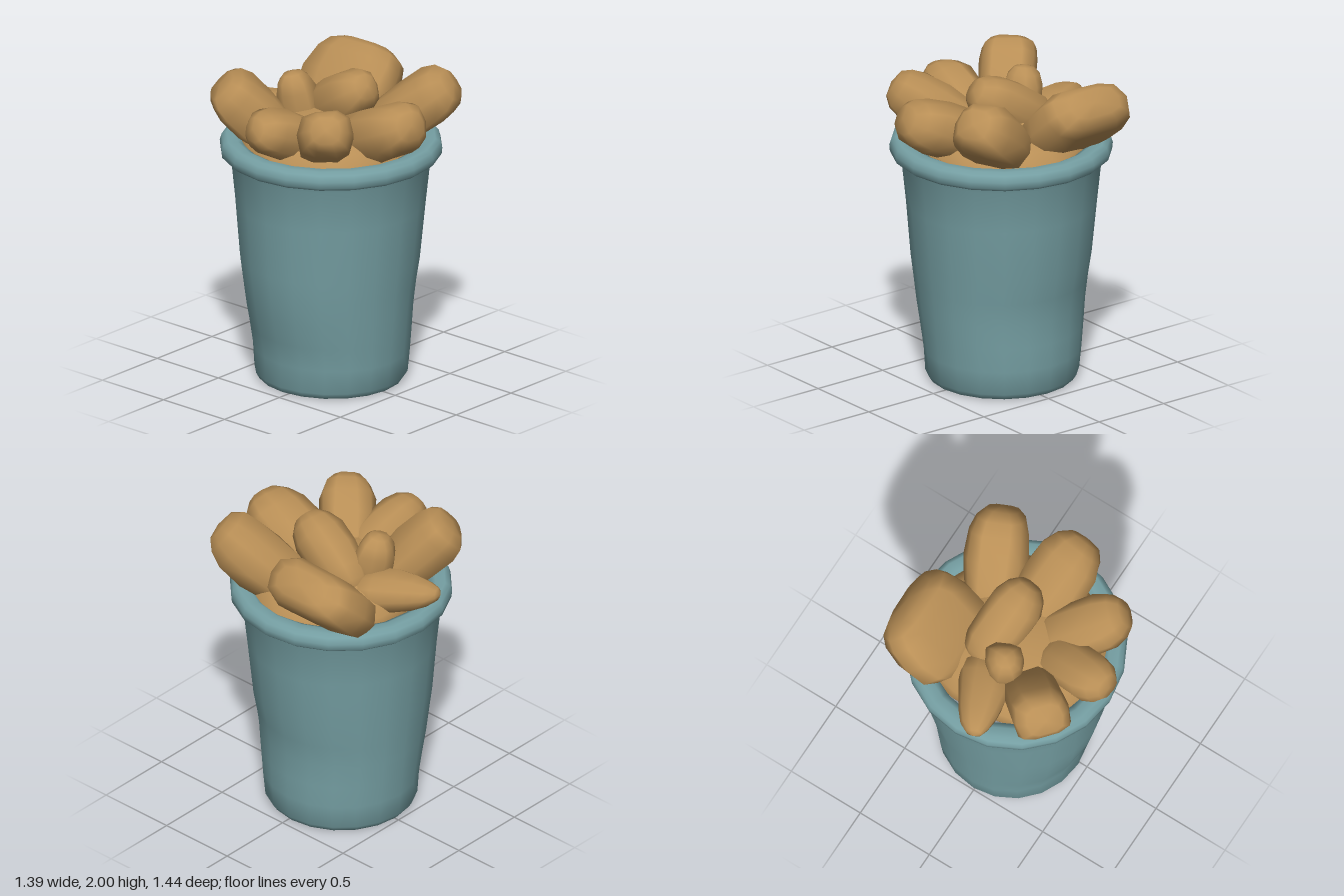
import * as THREE from 'three';
import { mergeVertices, toCreasedNormals } from 'three/addons/utils/BufferGeometryUtils.js';

const teal = new THREE.MeshStandardMaterial({ color: 0x76a0a4 });
teal.name = 'dusty teal';
const brown = new THREE.MeshStandardMaterial({ color: 0xb98f56 });
brown.name = 'golden brown';

const V = (a) => new THREE.Vector3(...a);

// Moves every vertex by a rule
function deform(geo, rule) {
  const p = geo.attributes.position, v = new THREE.Vector3();
  for (let i = 0; i < p.count; i++) {
    v.fromBufferAttribute(p, i);
    rule(v);
    p.setXYZ(i, v.x, v.y, v.z);
  }
  return geo;
}

// Welds the seams so that shading is smooth all round
function smooth(geo) {
  geo.deleteAttribute('normal');
  geo.deleteAttribute('uv');
  const g = mergeVertices(geo, 1e-4);
  g.computeVertexNormals();
  return g;
}

// Irregular nugget: w = half width across, h = half thickness, flare = widening towards the tip,
// power = bluntness (lower is boxier)
function nuggetGeometry(root, tip, w, h, flare, power, seed) {
  const a = V(root), b = V(tip);
  const axis = b.clone().sub(a);
  const half = axis.length() / 2;
  axis.normalize();
  const side = new THREE.Vector3(0, 1, 0).cross(axis).normalize();
  const up = side.clone().cross(axis);
  const m = new THREE.Matrix4().makeBasis(side, axis, up).setPosition(a.add(b).multiplyScalar(0.5));
  const blunt = (n) => Math.sign(n) * Math.pow(Math.abs(n), power);
  const geo = deform(new THREE.SphereGeometry(1, 10, 8), (v) => {
    const lump = 1 + 0.08 * Math.sin(3 * v.x + seed * 2.1) * Math.cos(2.5 * v.z + seed)
      + 0.05 * Math.sin(4 * v.y + 3 * v.x + seed);
    const taper = (1 - Math.abs(flare) * 0.7 + flare * v.y) * lump;
    v.set(blunt(v.x) * w * taper, blunt(v.y) * half, blunt(v.z) * h * taper);
    v.applyMatrix4(m);
    v.y = Math.min(v.y, 2);
  });
  return smooth(geo);
}

export function createModel() {
  const model = new THREE.Group();
  const add = (geo, mat, name) => {
    const mesh = new THREE.Mesh(geo, mat);
    mesh.name = name;
    model.add(mesh);
    return mesh;
  };

  // Tapered cup wall and base, with shallow dents low on both sides
  const wall = [[0, 0.01], [0.41, 0.005], [0.45, 0.015], [0.473, 0.05], [0.488, 0.2], [0.503, 0.35],
    [0.518, 0.5], [0.532, 0.65], [0.55, 0.8], [0.583, 1.15], [0.612, 1.42], [0.63, 1.47]];
  const bell = (y, c, s) => Math.exp(-(((y - c) / s) ** 2));
  const cup = deform(new THREE.LatheGeometry(wall.map((p) => new THREE.Vector2(...p)), 20), (v) => {
    if (v.x < 0) v.x *= 1 - 0.07 * bell(v.y, 0.2, 0.2) + 0.03 * bell(v.y, 0.75, 0.3);
    else v.x *= 1 - 0.05 * bell(v.y, 0.52, 0.2);
  });
  add(toCreasedNormals(smooth(cup), 0.9), teal, 'cup').position.z = -0.03;

  // Rolled rim with an inner lip
  const lip = [[0.6, 1.46], [0.655, 1.455], [0.678, 1.475], [0.682, 1.515], [0.67, 1.555], [0.64, 1.572],
    [0.58, 1.57], [0.54, 1.55], [0.52, 1.48]];
  add(smooth(new THREE.LatheGeometry(lip.map((p) => new THREE.Vector2(...p)), 20)), teal, 'rim')
    .position.z = -0.025;

  // Mound of filling beneath the nuggets
  const mound = deform(new THREE.SphereGeometry(1, 24, 12), (v) => {
    const bump = 1 + 0.05 * Math.sin(5 * v.x + 2) * Math.cos(4 * v.z);
    v.set(v.x * 0.57 * bump, 1.5 + v.y * 0.25, v.z * 0.54 * bump);
  });
  add(smooth(mound), brown, 'fillingMound');

  // Nuggets: root, tip, half width, half thickness, flare, power
  const nuggets = [
    ['backLeftNugget', [-0.18, 1.52, -0.2], [-0.51, 1.93, -0.48], 0.21, 0.18, 0.14, 0.65],
    ['leftNugget', [-0.15, 1.58, 0.02], [-0.69, 1.8, -0.05], 0.17, 0.16, 0.06, 0.8],
    ['frontLeftNugget', [-0.12, 1.54, 0.04], [-0.53, 1.86, 0.41], 0.18, 0.17, 0.06, 0.75],
    ['frontNugget', [0.03, 1.54, 0.06], [-0.06, 1.83, 0.69], 0.21, 0.18, 0.06, 0.75],
    ['frontRightNugget', [0.25, 1.52, 0.06], [0.47, 1.92, 0.56], 0.2, 0.18, 0.08, 0.7],
    ['rightNugget', [0.22, 1.52, -0.25], [0.63, 1.92, -0.26], 0.35, 0.17, 0.06, 0.65],
    ['backNugget', [0.07, 1.6, -0.2], [-0.14, 1.68, -0.72], 0.2, 0.15, -0.28, 0.85],
    ['smallNugget', [-0.03, 1.5, -0.2], [-0.08, 1.95, -0.27], 0.13, 0.13, 0.05, 0.8],
    ['centreNugget', [0.13, 1.6, -0.28], [0.05, 1.94, 0.23], 0.17, 0.17, 0.02, 0.8],
  ];
  nuggets.forEach(([name, ...shape], i) => add(nuggetGeometry(...shape, i + 1), brown, name));

  return model;
}
